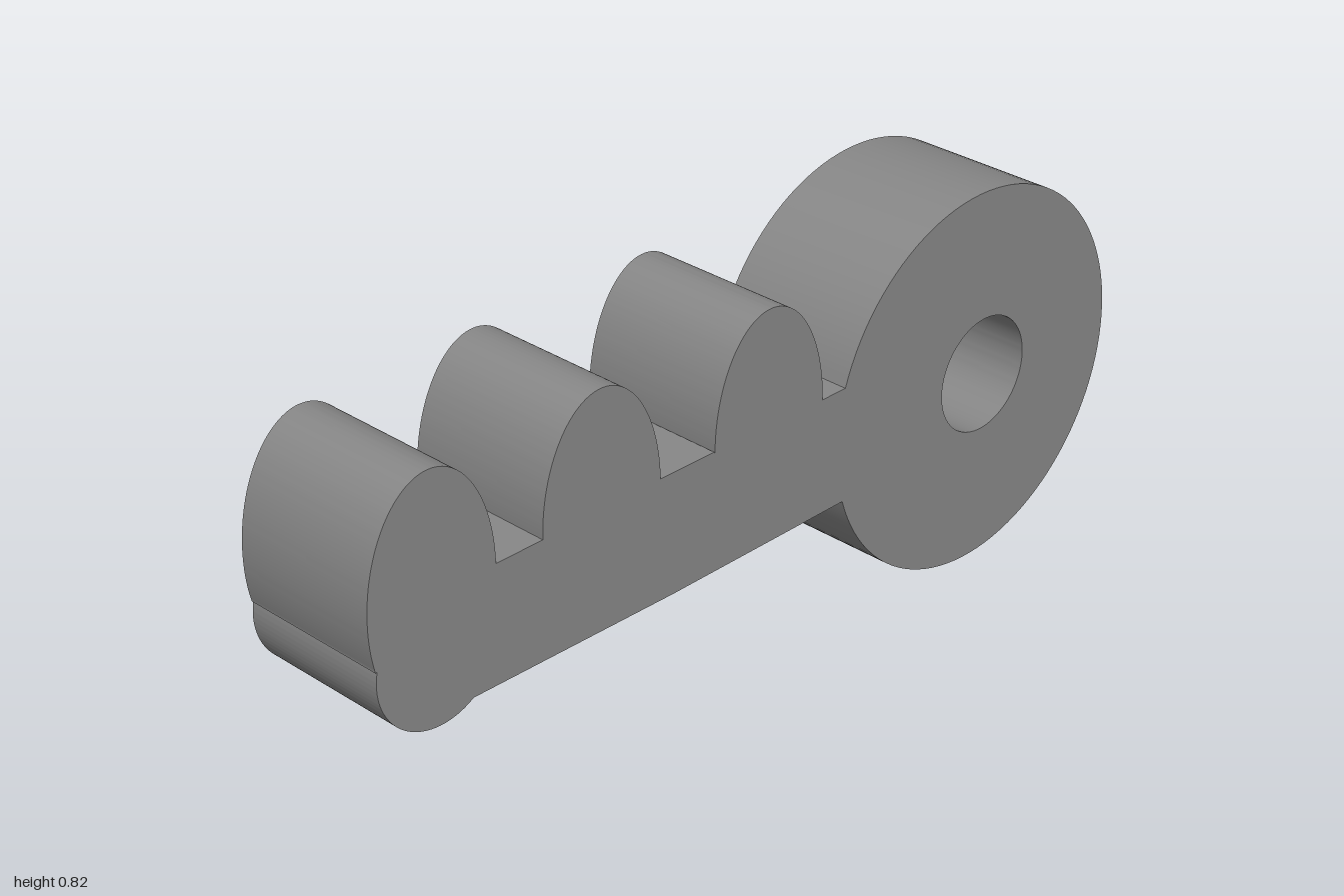
import * as THREE from 'three';
import { toCreasedNormals } from 'three/addons/utils/BufferGeometryUtils.js';

const DEPTH = 0.335;

export function createModel() {
  const group = new THREE.Group();
  const material = new THREE.MeshStandardMaterial({ color: 0x878787 });
  const outline = new THREE.Shape();

  // Underside of the bar, sagging very slightly
  outline.moveTo(0.2, 0.288);
  outline.lineTo(-0.27, 0.283);

  // Rounded lower end
  outline.absarc(-0.845, 0.41, 0.143, -1.02, -3.37, true);

  // Three elliptical teeth, joined by the top of the bar
  const tooth = (x, start) => outline.absellipse(x, 0.538, 0.147, 0.247, start, 0, true);
  tooth(-0.853, Math.PI + 0.407);
  tooth(-0.447, Math.PI);
  outline.lineTo(-0.3, 0.542);
  outline.lineTo(-0.16, 0.542);
  tooth(-0.011, Math.PI);

  // Round head
  outline.absarc(0.59, 0.41, 0.41, Math.PI - 0.318, -(Math.PI - 0.302), true);

  // Hole through the head, slightly off centre
  const hole = new THREE.Path();
  hole.absarc(0.615, 0.413, 0.125, 0, Math.PI * 2, false);
  outline.holes.push(hole);

  let geometry = new THREE.ExtrudeGeometry(outline, {
    depth: DEPTH, bevelEnabled: false, curveSegments: 48,
  });
  geometry.translate(0, 0, -DEPTH / 2);
  geometry = toCreasedNormals(geometry, 0.51);

  const body = new THREE.Mesh(geometry, material);
  body.name = 'keyBody';
  group.add(body);
  return group;
}
